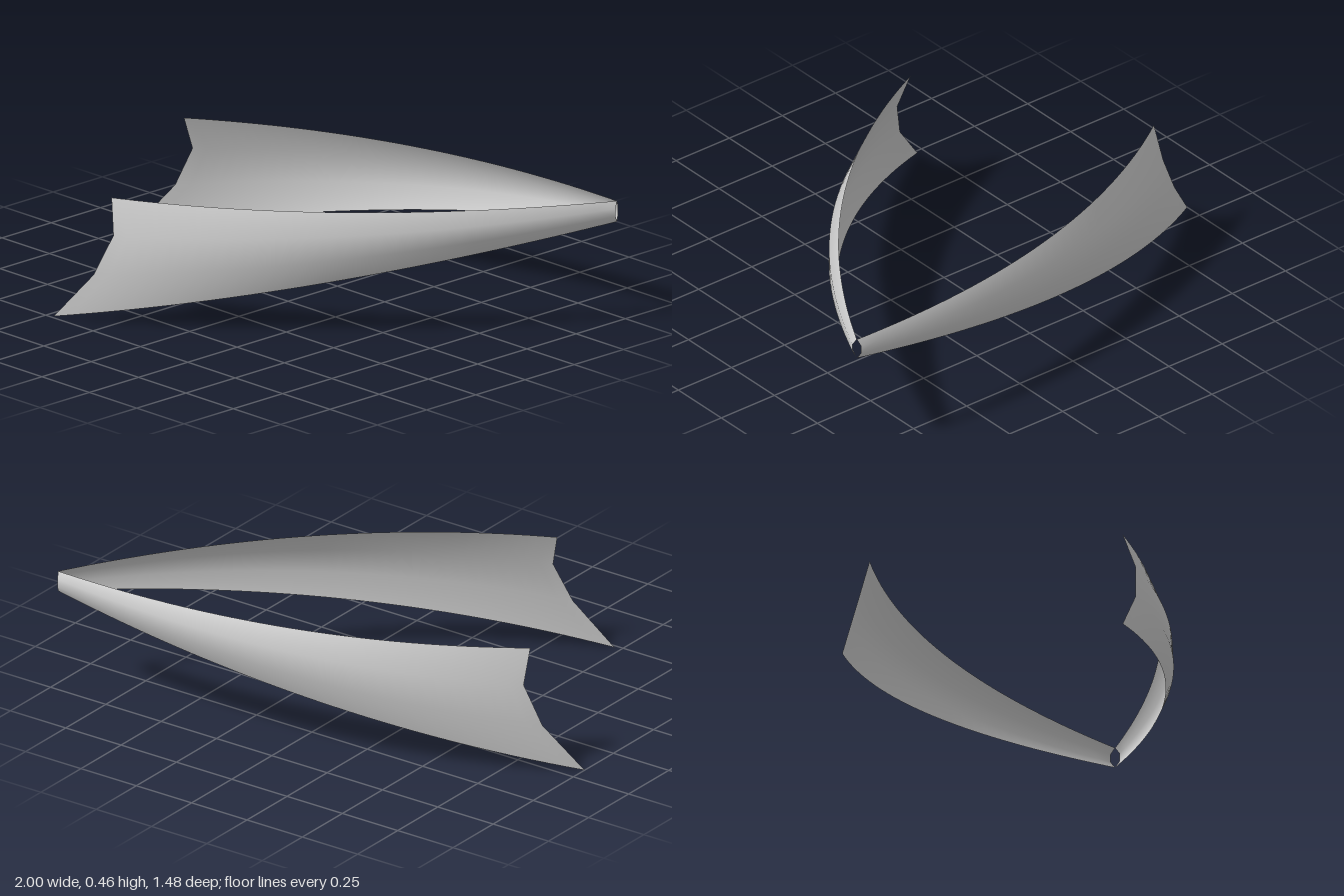
import * as THREE from 'three';

// Lengthwise edge lines of one blade, top to bottom:
// tip height, tip offset, end height, end distance, widest offset
const ROWS = [
  { y0: 0.46, w0: 0.0, y1: 0.46, s1: 1.787, w1: 0.487 },
  { y0: 0.435, w0: 0.017, y1: 0.33, s1: 1.767, w1: 0.532 },
  { y0: 0.405, w0: 0.017, y1: 0.177, s1: 1.838, w1: 0.549 },
  { y0: 0.38, w0: 0.0, y1: 0.0, s1: 1.992, w1: 0.54 },
];
const STEPS = 32;
const TIP = { x: 0.99, z: -0.717 };
const AXIS = Math.PI / 6; // heading of the symmetry plane
const PEAK = 0.875; // fraction of the length where the blade is widest

// Bowed sheet swept from the tip to the notched end; side = +1 or -1 mirrors it
function bladeGeometry(side) {
  const c = Math.cos(AXIS), n = Math.sin(AXIS);
  const pos = [], index = [];
  for (let i = 0; i <= STEPS; i++) {
    const t = i / STEPS;
    const bow = 1 - (1 - t / PEAK) ** 2;
    for (const r of ROWS) {
      const s = r.s1 * t;
      const w = side * (r.w0 + (r.w1 - r.w0) * bow);
      pos.push(TIP.x - c * s + n * w, r.y0 + (r.y1 - r.y0) * t, TIP.z + n * s + c * w);
    }
  }
  const k = ROWS.length;
  for (let i = 0; i < STEPS; i++) {
    for (let j = 0; j < k - 1; j++) {
      const a = i * k + j, b = a + 1, d = a + k, e = d + 1;
      if (side > 0) index.push(a, d, b, b, d, e);
      else index.push(a, b, d, b, e, d);
    }
  }
  const g = new THREE.BufferGeometry();
  g.setAttribute('position', new THREE.Float32BufferAttribute(pos, 3));
  g.setIndex(index);
  // outward faces
  for (let i = 0; i < index.length; i += 3) {
    [index[i + 1], index[i + 2]] = [index[i + 2], index[i + 1]];
  }
  g.setIndex(index);
  g.computeVertexNormals();
  return g;
}

export function createModel() {
  const group = new THREE.Group();
  group.name = 'curvedBlades';
  const material = new THREE.MeshStandardMaterial({ color: 0xcccccc, side: THREE.DoubleSide });
  for (const [name, side] of [['frontBlade', 1], ['backBlade', -1]]) {
    const blade = new THREE.Mesh(bladeGeometry(side), material);
    blade.name = name;
    group.add(blade);
  }
  return group;
}
